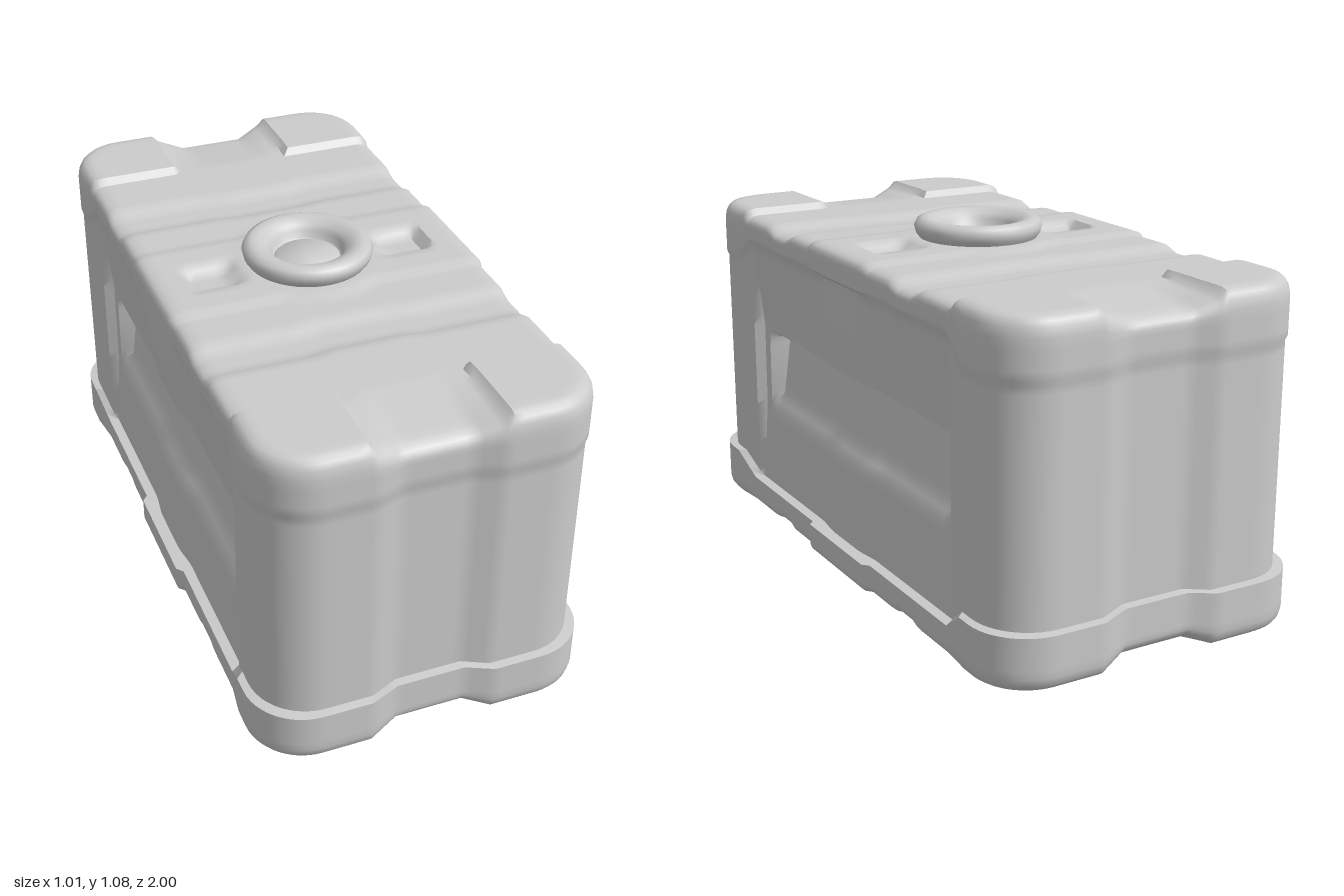
import * as THREE from 'three';
import { toCreasedNormals } from 'three/addons/utils/BufferGeometryUtils.js';

const HX = 0.49, HZ = 0.98, Y0 = 0.01, Y1 = 1.005;
const CORNER = 0.17, EDGE = 0.045;

// Linear ramp from 0 (at a) to 1 (at b)
const ramp = (a, b, v) => THREE.MathUtils.clamp((v - a) / (b - a), 0, 1);
const soft = (a, b, v) => { const t = ramp(a, b, v); return t * t * (3 - 2 * t); };

// Piecewise-linear lookup through [key, value] pairs
function lookup(pairs, v) {
  if (v <= pairs[0][0]) return pairs[0][1];
  for (let i = 1; i < pairs.length; i++) {
    const [a, fa] = pairs[i - 1], [b, fb] = pairs[i];
    if (v <= b) return fa + (fb - fa) * (v - a) / (b - a);
  }
  return pairs[pairs.length - 1][1];
}

// Grid lines through every key, no further apart than step
function gridLines(keys, step) {
  const out = [keys[0]];
  for (let i = 1; i < keys.length; i++) {
    const n = Math.ceil((keys[i] - keys[i - 1]) / step - 1e-6);
    for (let j = 1; j <= n; j++) out.push(keys[i - 1] + (keys[i] - keys[i - 1]) * j / n);
  }
  return out;
}
const mirrored = (a) => [...a.slice(1).reverse().map((v) => -v), ...a];

// Square corner to quarter disc, keeping the outer boundary on the arc
function toDisc(u, v) {
  if (u <= 0 || v <= 0) return [u, v];
  const k = Math.max(u, v) / Math.hypot(u, v);
  return [u * k, v * k];
}

// Relief of the top: corner pads, cross grooves, middle band, slots, filler collar
function topRelief(x, z) {
  const ax = Math.abs(x), az = Math.abs(z), r = Math.hypot(x, z);
  const pad = ramp(0.18, 0.20, ax) * ramp(0.68, 0.70, az);
  const groove = ramp(0.33, 0.38, az) * (1 - ramp(0.46, 0.51, az));
  const band = 1 - ramp(0.18, 0.20, az);
  const slot = ramp(0.18, 0.2, ax) * (1 - ramp(0.36, 0.39, ax)) * (1 - ramp(0.04, 0.08, az));
  const endDip = (1 - ramp(0.10, 0.18, ax)) * ramp(0.72, 0.95, az);
  const collar = 1 - soft(0.205, 0.26, r);
  const h = 0.02 * pad - 0.018 * groove + 0.01 * band - 0.03 * slot - 0.028 * endDip;
  return h * (1 - collar) + 0.012 * collar;
}

// Relief of the underside: arches at the ends, shallow cross grooves, slight belly
function bottomRelief(x, z) {
  const ax = Math.abs(x), az = Math.abs(z);
  const arch = (1 - ramp(0.10, 0.18, ax)) * ramp(0.70, 0.95, az);
  const groove = ramp(0.35, 0.38, az) * (1 - ramp(0.46, 0.49, az));
  return 0.03 * arch + 0.012 * groove - 0.01 * (1 - ramp(0.20, 0.35, az)) * (1 - ramp(0.3, 0.46, ax));
}

// How far the long sides lie inside the outer width
function sideInset(y, z, rim) {
  const az = Math.abs(z);
  const waist = ramp(0.18, 0.20, az) * (1 - ramp(0.66, 0.76, az));
  if (rim === 'base') return -0.017 + 0.018 * waist;
  const middle = 1 - ramp(0.18, 0.20, az);
  if (rim === 'top') return 0.01 * waist + 0.004 * middle;
  const chamfer = 0.016 * (1 - ramp(0.68, 0.76, az));
  const panel = 1 - ramp(0.66, 0.68, az);
  const depth = lookup([[0.105, 0.01], [0.38, 0.028], [0.65, 0.03], [0.80, 0.012], [0.92, 0]], y);
  const grip = lookup([[0.36, 0], [0.42, 0.035], [0.61, 0.06], [0.635, 0]], y);
  const bulge = 0.012 * (1 - soft(0.08, 0.2, az)) * ramp(0.9, 0.75, y);
  return 0.005 + chamfer + panel * (depth - bulge) + grip * (1 - ramp(0.59, 0.62, az));
}

// How far the two ends lie inside the outer length
function endInset(x, rim) {
  const channel = 0.028 * (1 - ramp(0.10, 0.18, Math.abs(x)));
  return channel + (rim === 'base' ? -0.02 : rim === 'top' ? 0 : 0.005);
}

function shapePoint(p) {
  let { x, y, z } = p;
  const row = y;
  const sx = Math.sign(x), sz = Math.sign(z);
  // rounded upright corners
  const ix = HX - CORNER, iz = HZ - CORNER;
  const [u, v] = toDisc((Math.abs(x) - ix) / CORNER, (Math.abs(z) - iz) / CORNER);
  let ax = ix + u * CORNER, az = iz + v * CORNER;
  // rounded top and bottom edges
  const cu = Math.max(u, 0), cv = Math.max(v, 0), len = Math.hypot(cu, cv);
  const e = (len - 1) * CORNER / EDGE + 1;
  const atTop = y > 0.5;
  const f = 1 - (atTop ? Y1 - y : y - Y0) / EDGE;
  if (e > 0 && f > 0) {
    const [e2, f2] = toDisc(e, f);
    const move = (e - e2) * EDGE / len;
    ax -= cu * move;
    az -= cv * move;
    y += (atTop ? 1 : -1) * (f2 - f) * EDGE;
  }
  x = sx * ax;
  z = sz * az;
  // rims grow thin beside the side panels
  const k = 1 - ramp(0.66, 0.76, az);
  const lowLip = 0.105 * k + (0.175 + 0.01 * (1 - ramp(0.1, 0.18, ax)) * ramp(0.8, 0.95, az)) * (1 - k);
  const highLip = 0.92 * k + 0.85 * (1 - k);
  y = lookup([[Y0, Y0], [0.175, lowLip], [0.18, lowLip + 0.003], [0.845, highLip - 0.005],
    [0.865, highLip + 0.01], [Y1, Y1]], y);
  const rim = row < 0.1775 ? 'base' : row > 0.855 ? 'top' : 'wall';
  const dx = sideInset(y, z, rim), dz = endInset(x, rim);
  const lift = topRelief(x, z) * ramp(0.92, 0.995, y) + bottomRelief(x, z) * ramp(0.1, 0.03, y);
  p.set(x * (1 - dx / HX), y + lift, z * (1 - dz / HZ));
}

function makeTank() {
  const xs = mirrored(gridLines([0, 0.1, 0.18, 0.2, 0.32, 0.36, 0.39, 0.445, 0.49], 0.025));
  const zs = mirrored(gridLines([0, 0.04, 0.08, 0.18, 0.2, 0.33, 0.38, 0.46, 0.51, 0.59, 0.62,
    0.66, 0.68, 0.7, 0.76, 0.81, 0.935, 0.98], 0.025));
  const ys = gridLines([Y0, 0.055, 0.175, 0.18, 0.387, 0.436, 0.593, 0.614, 0.626, 0.75,
    0.845, 0.865, 0.96, Y1], 0.025);
  const [nx, ny, nz] = [xs, ys, zs].map((a) => a.length - 1);
  const g = new THREE.BoxGeometry(1, 1, 1, nx, ny, nz);
  const pos = g.attributes.position, p = new THREE.Vector3();
  for (let i = 0; i < pos.count; i++) {
    p.fromBufferAttribute(pos, i);
    p.set(xs[Math.round((p.x + 0.5) * nx)], ys[Math.round((p.y + 0.5) * ny)], zs[Math.round((p.z + 0.5) * nz)]);
    shapePoint(p);
    pos.setXYZ(i, p.x, p.y, p.z);
  }
  return toCreasedNormals(g, 0.75);
}

// Ring-shaped filler neck with a recessed plug
function makeNeck() {
  const profile = [[0.14, 0.99], [0.172, 1.005], [0.19, 1.03], [0.195, 1.05], [0.187, 1.067], [0.168, 1.076],
    [0.145, 1.073], [0.122, 1.06], [0.108, 1.045], [0.104, 1.025], [0.098, 1.02], [0.092, 1.026], [0, 1.03]];
  const pts = profile.map(([r, y]) => new THREE.Vector2(r, y));
  return toCreasedNormals(new THREE.LatheGeometry(pts, 48), 0.75);
}

export function createModel() {
  const group = new THREE.Group();
  group.name = 'storageTank';
  const material = new THREE.MeshStandardMaterial({ color: 0xcccccc });
  const add = (name, geometry) => {
    const mesh = new THREE.Mesh(geometry, material);
    mesh.name = name;
    group.add(mesh);
  };
  add('tankBody', makeTank());
  add('fillerNeck', makeNeck());
  return group;
}
